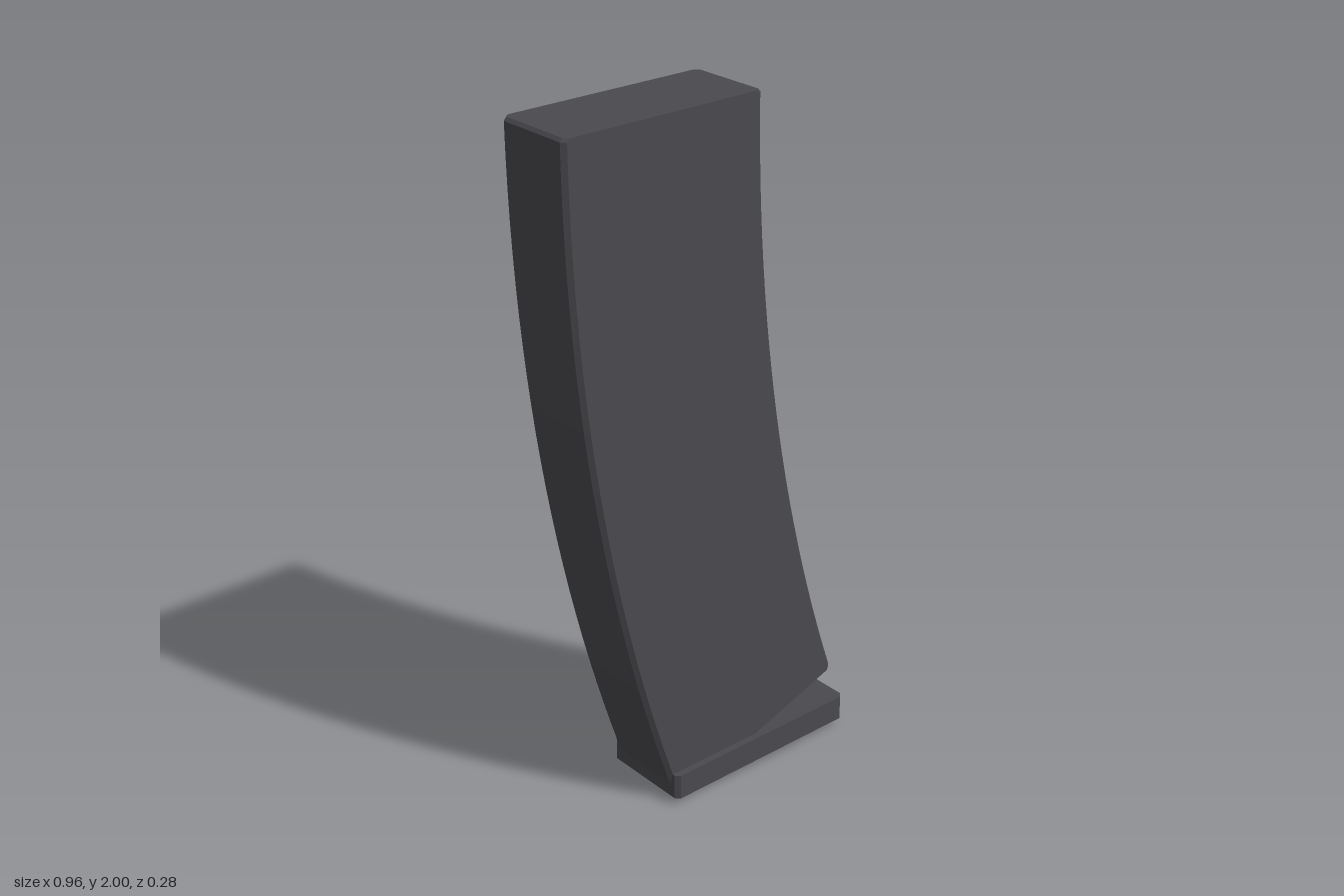
import * as THREE from 'three';

// Chamfered rectangle in x/z, counter-clockwise seen from above
function section(x0, x1, halfZ, c) {
  const h = halfZ;
  return [
    [x1, -h + c], [x1 - c, -h], [x0 + c, -h], [x0, -h + c],
    [x0, h - c], [x0 + c, h], [x1 - c, h], [x1, h - c],
  ];
}

// Closed solid from a stack of rings, listed top to bottom
function loft(rings) {
  const n = rings[0].length, last = (rings.length - 1) * n, index = [];
  for (let j = 0; j < rings.length - 1; j++) {
    for (let i = 0; i < n; i++) {
      const a = j * n + i, b = j * n + (i + 1) % n;
      index.push(a, a + n, b + n, a, b + n, b);
    }
  }
  for (let i = 1; i < n - 1; i++) {
    index.push(0, i, i + 1, last, last + i + 1, last + i);
  }
  const g = new THREE.BufferGeometry();
  g.setAttribute('position', new THREE.Float32BufferAttribute(rings.flat(2), 3));
  g.setIndex(index);
  const flat = g.toNonIndexed();
  flat.computeVertexNormals();
  return flat;
}

export function createModel() {
  const group = new THREE.Group();
  const gunmetal = new THREE.MeshStandardMaterial({ color: 0x4a494e, flatShading: true });
  gunmetal.name = 'dark grey';

  // Curved body: the section swept along an arc, with slightly eased ends
  const centreX = 5.52, outerR = 6.0, innerR = 5.38;
  const sweep = THREE.MathUtils.degToRad(19.45), ease = 0.0015, steps = 24;
  const bend = (angle, inset) =>
    section(-outerR + inset, -innerR - inset, 0.12, 0.012).map(([u, z]) => [
      centreX + u * Math.cos(angle), 2 + u * Math.sin(angle), z,
    ]);
  const rings = [bend(0, 0.008)];
  for (let i = 0; i <= steps; i++) {
    rings.push(bend(ease + (sweep - 2 * ease) * i / steps, 0));
  }
  rings.push(bend(sweep, 0.008));
  const body = new THREE.Mesh(loft(rings), gunmetal);
  body.name = 'curvedBody';
  group.add(body);

  // Flat base plate with chamfered upright edges
  const plateRing = y => section(-0.16, 0.48, 0.14, 0.012).map(([x, z]) => [x, y, z]);
  const plate = new THREE.Mesh(loft([plateRing(0.104), plateRing(0.028)]), gunmetal);
  plate.name = 'basePlate';
  group.add(plate);

  return group;
}
